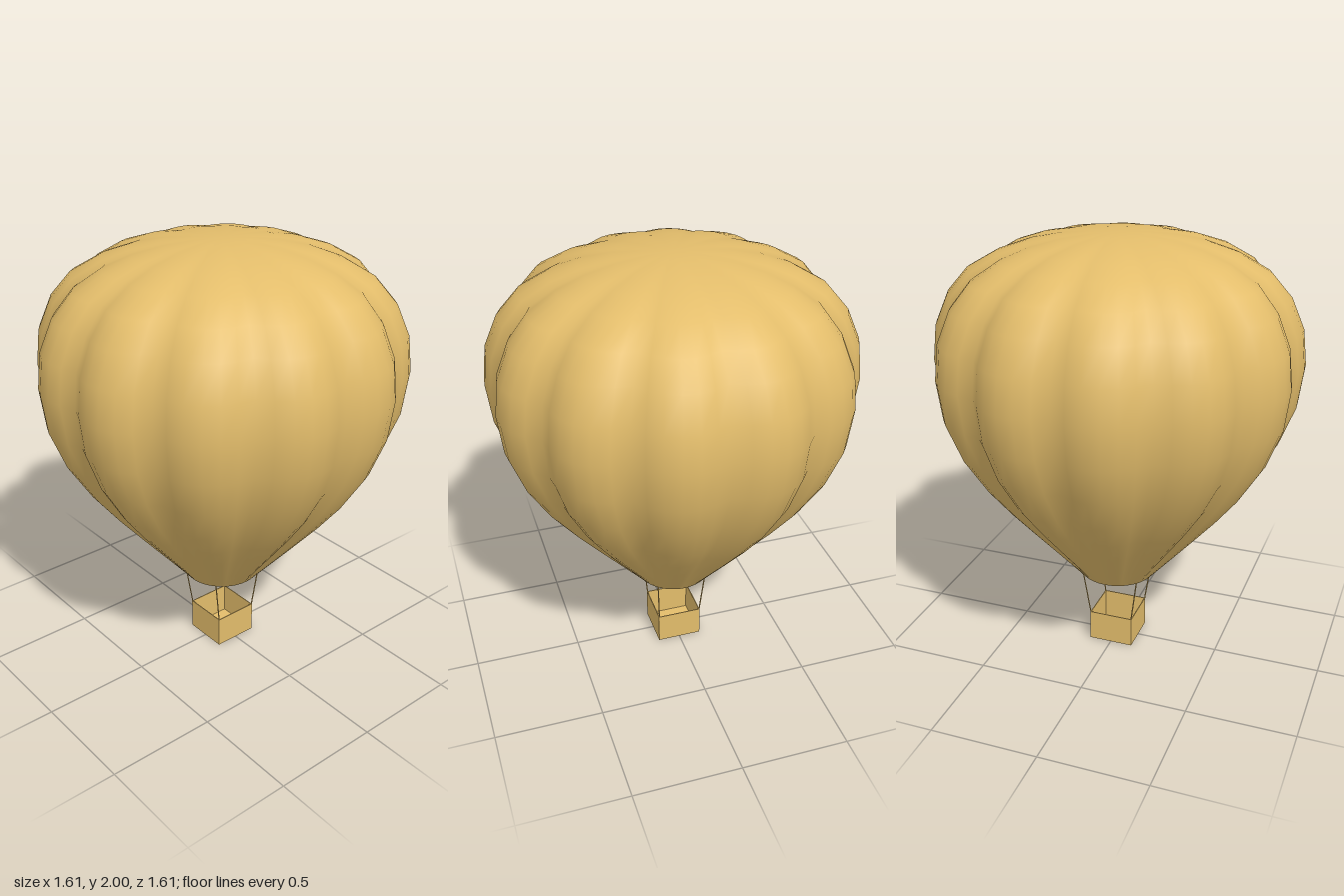
import * as THREE from 'three';

const tan = new THREE.MeshStandardMaterial({ color: 0xe3bd6b, side: THREE.DoubleSide });

const MOUTH_Y = 0.365;
const LOBES = 12;
const SEGMENTS = LOBES * 6;

// Envelope rings from mouth to crown: [radius over the lobes, height, seam depth]
const RINGS = [
  [0.18, MOUTH_Y, 0], [0.28, 0.48, 0.016], [0.41, 0.63, 0.03], [0.525, 0.765, 0.042],
  [0.63, 0.9, 0.05], [0.735, 1.07, 0.057], [0.805, 1.25, 0.06], [0.828, 1.43, 0.062],
  [0.81, 1.59, 0.06], [0.75, 1.73, 0.057], [0.66, 1.835, 0.05], [0.53, 1.91, 0.038],
  [0.4, 1.955, 0.025], [0.26, 1.983, 0.012], [0.12, 1.997, 0.003],
];

// Lobed skin: each ring bulges between twelve seams, closed by a crown point
function envelopeGeometry() {
  const positions = [];
  const index = [];
  for (const [radius, y, depth] of RINGS) {
    for (let i = 0; i < SEGMENTS; i++) {
      const a = (i / SEGMENTS) * Math.PI * 2;
      const r = radius - depth * (1 - Math.abs(Math.sin((a * LOBES) / 2)));
      positions.push(r * Math.sin(a), y, r * Math.cos(a));
    }
  }
  const crown = positions.length / 3;
  positions.push(0, 2, 0);
  for (let j = 0; j < RINGS.length; j++) {
    for (let i = 0; i < SEGMENTS; i++) {
      const next = (i + 1) % SEGMENTS;
      const a = j * SEGMENTS + i;
      const b = j * SEGMENTS + next;
      if (j === RINGS.length - 1) index.push(a, b, crown);
      else index.push(a, b, b + SEGMENTS, a, b + SEGMENTS, a + SEGMENTS);
    }
  }
  const geometry = new THREE.BufferGeometry();
  geometry.setAttribute('position', new THREE.Float32BufferAttribute(positions, 3));
  geometry.setIndex(index);
  geometry.computeVertexNormals();
  return geometry;
}

// Thin rod between two points
function rod(from, to, radius) {
  const direction = to.clone().sub(from);
  const mesh = new THREE.Mesh(new THREE.CylinderGeometry(radius, radius, direction.length(), 6), tan);
  mesh.position.copy(from).add(to).multiplyScalar(0.5);
  mesh.quaternion.setFromUnitVectors(new THREE.Vector3(0, 1, 0), direction.normalize());
  return mesh;
}

// Open-topped basket: four thin walls and a floor
function createBasket() {
  const half = 0.106, height = 0.148, wall = 0.004;
  const square = (Type, h) => new Type([[-h, -h], [h, -h], [h, h], [-h, h]].map(([x, y]) => new THREE.Vector2(x, y)));
  const outline = square(THREE.Shape, half);
  outline.holes.push(square(THREE.Path, half - wall));
  const basket = new THREE.Group();
  basket.name = 'basket';

  const walls = new THREE.Mesh(
    new THREE.ExtrudeGeometry(outline, { depth: height, bevelEnabled: false }).rotateX(-Math.PI / 2), tan);
  walls.name = 'basketWalls';

  const floor = new THREE.Mesh(new THREE.BoxGeometry(2 * (half - wall), wall, 2 * (half - wall)), tan);
  floor.name = 'basketFloor';
  floor.position.y = wall / 2;

  basket.add(walls, floor);
  return basket;
}

export function createModel() {
  const model = new THREE.Group();
  model.name = 'hotAirBalloon';

  const envelope = new THREE.Mesh(envelopeGeometry(), tan);
  envelope.name = 'envelope';
  model.add(envelope, createBasket());

  // Ropes from the basket corners to the mouth
  for (const sx of [1, -1]) {
    for (const sz of [1, -1]) {
      const rope = rod(
        new THREE.Vector3(sx * 0.103, 0.14, sz * 0.103),
        new THREE.Vector3(sx * 0.118, MOUTH_Y + 0.005, sz * 0.135), 0.003);
      rope.name = (sz > 0 ? 'front' : 'back') + (sx > 0 ? 'Left' : 'Right') + 'Rope';
      model.add(rope);
    }
  }
  return model;
}
